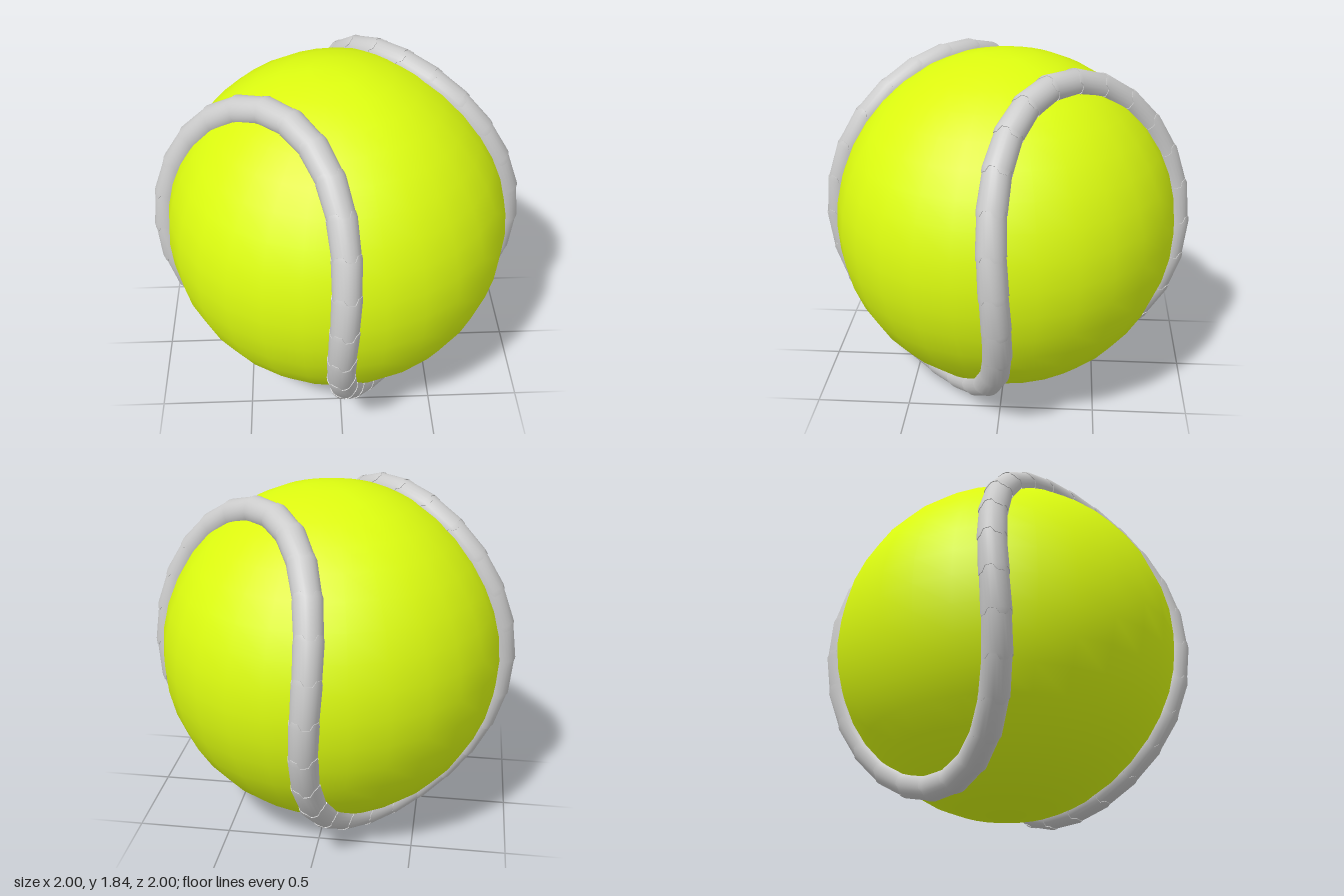
import * as THREE from 'three';
import { toCreasedNormals } from 'three/addons/utils/BufferGeometryUtils.js';

const CENTRE_Y = 0.925;
const SEGMENTS = 52;   // seam pieces around the ball
const SIDES = 24;      // columns around each piece
const A = 0.667, B = 0.258, C = 2 * Math.sqrt(A * B);

// closed seam curve lying on a sphere of radius A + B
function seamPoint(t) {
  return new THREE.Vector3(
    A * Math.cos(t) + B * Math.cos(3 * t),
    -C * Math.sin(2 * t),
    A * Math.sin(t) - B * Math.sin(3 * t));
}

// position, outward direction and sideways direction at every joint
const joints = Array.from({ length: SEGMENTS }, (_, i) => {
  const t = (i / SEGMENTS) * Math.PI * 2;
  const p = seamPoint(t);
  const tangent = seamPoint(t + 0.001).sub(seamPoint(t - 0.001)).normalize();
  const out = p.clone().normalize();
  return { p, out, side: tangent.cross(out).normalize() };
});

// point on the straight-sided tube at joint number u (may be fractional)
function tubePoint(u, angle, r) {
  const i = Math.floor(u);
  const at = (k) => {
    const j = joints[(k + SEGMENTS) % SEGMENTS];
    return j.p.clone()
      .addScaledVector(j.out, Math.cos(angle) * r)
      .addScaledVector(j.side, Math.sin(angle) * r);
  };
  return at(i).lerp(at(i + 1), u - i);
}

// one sleeve: slim start, wider end with interlocking tabs over the next sleeve
function sleeveGeometry(i) {
  const pos = [], index = [];
  const rows = [[-0.1, 0.071, 0], [0, 0.071, 0], [1, 0.075, 0], [1.01, 0.075, 1], [1.01, 0.069, 1]];
  for (const [u, r, tabbed] of rows) {
    for (let c = 0; c < SIDES; c++) {
      const tab = tabbed && Math.floor(c / 3) % 2 ? 0.13 : 0;
      pos.push(...tubePoint(i + u + tab, (c / SIDES) * Math.PI * 2, r).toArray());
    }
  }
  for (let r = 0; r < rows.length - 1; r++) {
    for (let c = 0; c < SIDES; c++) {
      const n = (c + 1) % SIDES, a = r * SIDES, b = a + SIDES;
      index.push(a + c, a + n, b + c, a + n, b + n, b + c);
    }
  }
  const g = new THREE.BufferGeometry();
  g.setAttribute('position', new THREE.Float32BufferAttribute(pos, 3));
  g.setIndex(index);
  return toCreasedNormals(g, 0.6);
}

export function createModel() {
  const model = new THREE.Group();
  model.name = 'tennisBall';

  // felt-covered ball
  const ball = new THREE.Mesh(
    new THREE.SphereGeometry(0.922, 28, 20),
    new THREE.MeshStandardMaterial({ color: 0xdcfc10 }));
  ball.name = 'ball';
  ball.position.y = CENTRE_Y;
  model.add(ball);

  // raised seam of interlocking sleeves
  const seam = new THREE.Group();
  seam.name = 'seam';
  seam.position.y = CENTRE_Y;
  const grey = new THREE.MeshStandardMaterial({ color: 0xcccccc, side: THREE.DoubleSide });
  for (let i = 0; i < SEGMENTS; i++) {
    const sleeve = new THREE.Mesh(sleeveGeometry(i), grey);
    sleeve.name = 'seamSleeve';
    seam.add(sleeve);
  }
  model.add(seam);
  return model;
}
